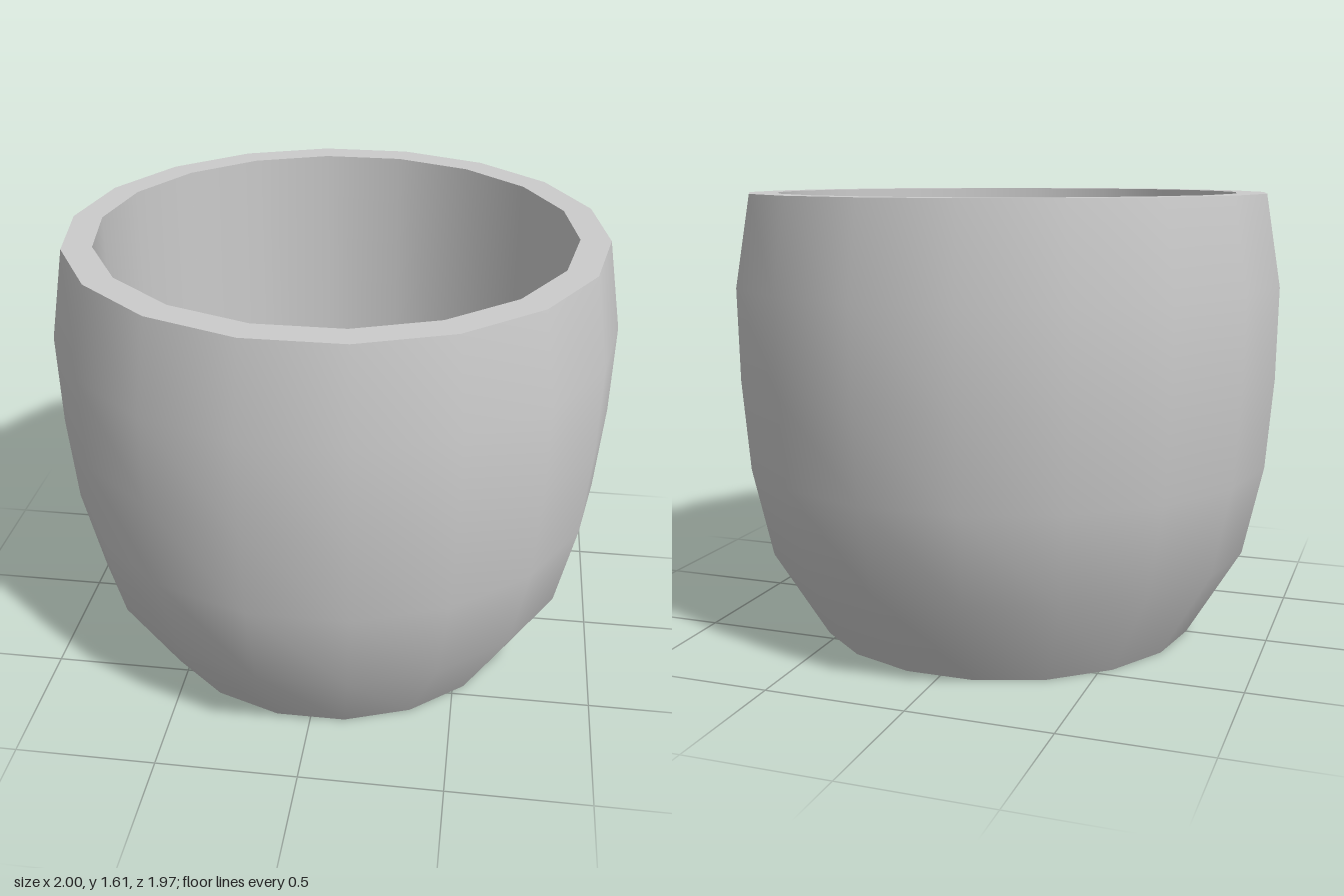
import * as THREE from 'three';

const SIDES = 18;
const HEIGHT = 1.61;
const RIM = 0.945;   // outer rim radius
const BORE = 0.84;   // radius of the straight hollow
const FLOOR = 0.34;  // height of the inside floor

export function createModel() {
  const cup = new THREE.Group();
  cup.name = 'cup';
  const material = new THREE.MeshStandardMaterial({ color: 0xcccccc });

  // Each band is turned separately, so edges between bands stay sharp
  function turn(name, profile) {
    const points = profile.map(([r, y]) => new THREE.Vector2(r, y));
    const geometry = new THREE.LatheGeometry(points, SIDES, Math.PI / 2);
    const mesh = new THREE.Mesh(geometry, material);
    mesh.name = name;
    cup.add(mesh);
  }

  // Flat underside
  turn('base', [[0, 0], [0.705, 0]]);
  // Smooth bulging wall
  turn('outerWall', [
    [0.705, 0], [0.9, 0.325], [0.97, 0.645],
    [0.995, 0.965], [1, 1.29], [RIM, HEIGHT],
  ]);
  // Flat lip
  turn('rim', [[RIM, HEIGHT], [BORE, HEIGHT]]);
  // Straight hollow and its floor
  turn('innerWall', [[BORE, HEIGHT], [BORE, FLOOR]]);
  turn('innerFloor', [[BORE, FLOOR], [0, FLOOR]]);

  return cup;
}
